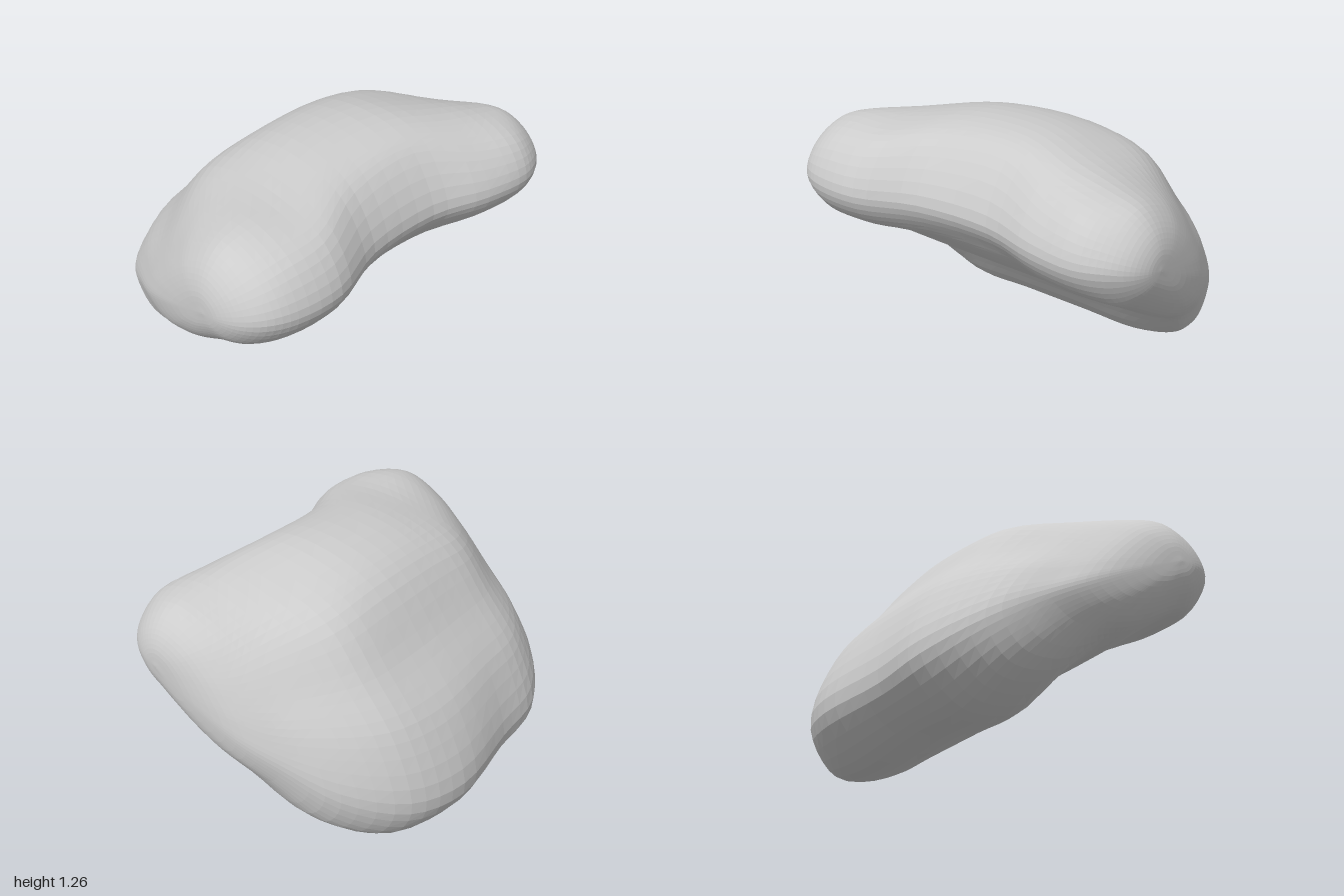
import * as THREE from 'three';

// Rippled underside shared by the middle cross-sections, back to front, as [z, y]
const UNDERSIDE = [[-.17, .13], [.08, .4], [.24, .49], [.43, .64]];

// Middle cross-sections: nose, brow, crown, plateau, shoulder,
// upper slope, lower slope, back tip, bottom, chin
const MIDDLE = [
  { x: -0.5, p: [[.76, .91], [.64, 1.12], [.42, 1.19], [.1, 1.18], [-.17, 1.09], [-.38, .86], [-.58, .62], [-.69, .28], [-.47, .08], [.67, .75]] },
  { x: -0.2, p: [[.645, .91], [.5, 1.16], [.32, 1.235], [.02, 1.23], [-.2, 1.14], [-.42, .88], [-.62, .62], [-.715, .24], [-.5, .06], [.56, .75]] },
  { x: 0.2, p: [[.62, .91], [.47, 1.18], [.32, 1.25], [.02, 1.24], [-.21, 1.15], [-.43, .875], [-.65, .6], [-.765, .22], [-.53, 0], [.53, .75]] },
  { x: 0.5, p: [[.695, .91], [.58, 1.11], [.4, 1.2], [.08, 1.18], [-.18, 1.1], [-.39, .86], [-.58, .61], [-.68, .25], [-.52, .04], [.61, .75]] },
];

// Outer cross-sections, with their own underside before the chin
const RIGHT = [
  { x: -0.87, p: [[.705, .91], [.62, 1.06], [.42, 1.14], [.2, 1.06], [.06, .95], [-.08, .81], [-.2, .67], [-.27, .54], [-.18, .46], [-.06, .44], [.1, .48], [.25, .54], [.42, .64], [.6, .74]] },
  { x: -0.74, p: [[.755, .91], [.65, 1.1], [.42, 1.18], [.15, 1.12], [-.04, 1.01], [-.22, .83], [-.4, .65], [-.52, .4], [-.4, .235], [-.17, .25], [.08, .42], [.24, .5], [.43, .64], [.67, .75]] },
];
const LEFT = [
  { x: 0.74, p: [[.715, .91], [.63, 1.08], [.42, 1.155], [.15, 1.1], [-.03, 1], [-.2, .82], [-.36, .63], [-.46, .36], [-.36, .19], [-.16, .2], [.08, .41], [.24, .5], [.43, .64], [.62, .745]] },
  { x: 0.87, p: [[.665, .91], [.59, 1.04], [.42, 1.115], [.2, 1.05], [.06, .94], [-.06, .8], [-.16, .65], [-.21, .51], [-.15, .41], [-.04, .4], [.1, .45], [.25, .53], [.41, .63], [.57, .735]] },
];
const SIDE_CENTRE = [0.42, 0.87];
const ALONG = 52, AROUND = 70;

// Shrink an outer section towards the rounded side end
function capSection(section, x, scale) {
  const p = section.p.map((q) => q.map((v, i) => SIDE_CENTRE[i] + (v - SIDE_CENTRE[i]) * scale));
  return { x, p };
}

function buildStone() {
  const middle = MIDDLE.map(({ x, p }) => ({ x, p: [...p.slice(0, -1), ...UNDERSIDE, p[p.length - 1]] }));
  const all = [
    capSection(RIGHT[0], -1, 0.02), capSection(RIGHT[0], -0.99, 0.36), capSection(RIGHT[0], -0.95, 0.7),
    ...RIGHT, ...middle, ...LEFT,
    capSection(LEFT[1], 0.95, 0.7), capSection(LEFT[1], 0.99, 0.36), capSection(LEFT[1], 1, 0.02),
  ];
  // One smooth rail from side to side for each section corner
  const rails = all[0].p.map((_, k) => new THREE.CatmullRomCurve3(
    all.map((s) => new THREE.Vector3(s.x, s.p[k][1], s.p[k][0]))));

  const positions = [], index = [];
  for (let i = 0; i <= ALONG; i++) {
    const loop = new THREE.CatmullRomCurve3(rails.map((r) => r.getPoint(i / ALONG)), true);
    for (let k = 0; k < AROUND; k++) positions.push(...loop.getPoint(k / AROUND).toArray());
  }
  for (let i = 0; i < ALONG; i++) {
    for (let k = 0; k < AROUND; k++) {
      const n = (k + 1) % AROUND;
      const a = i * AROUND + k, b = a + AROUND, c = (i + 1) * AROUND + n, d = i * AROUND + n;
      index.push(a, b, c, a, c, d);
    }
  }
  // Close both tiny side ends
  const end = ALONG * AROUND;
  for (let k = 1; k < AROUND - 1; k++) {
    index.push(0, k, k + 1, end, end + k + 1, end + k);
  }
  const geometry = new THREE.BufferGeometry();
  geometry.setAttribute('position', new THREE.Float32BufferAttribute(positions, 3));
  geometry.setIndex(index);
  // Separate faces give the finely faceted surface
  const faceted = geometry.toNonIndexed();
  faceted.computeVertexNormals();
  return faceted;
}

export function createModel() {
  const stoneGrey = new THREE.MeshStandardMaterial({ color: 0xcccccc });
  stoneGrey.name = 'stone grey';
  const stone = new THREE.Mesh(buildStone(), stoneGrey);
  stone.name = 'stone';
  const group = new THREE.Group();
  group.name = 'smooth curved stone';
  group.add(stone);
  // Stand the stone exactly on the ground
  stone.position.y = -new THREE.Box3().setFromObject(stone).min.y;
  return group;
}
